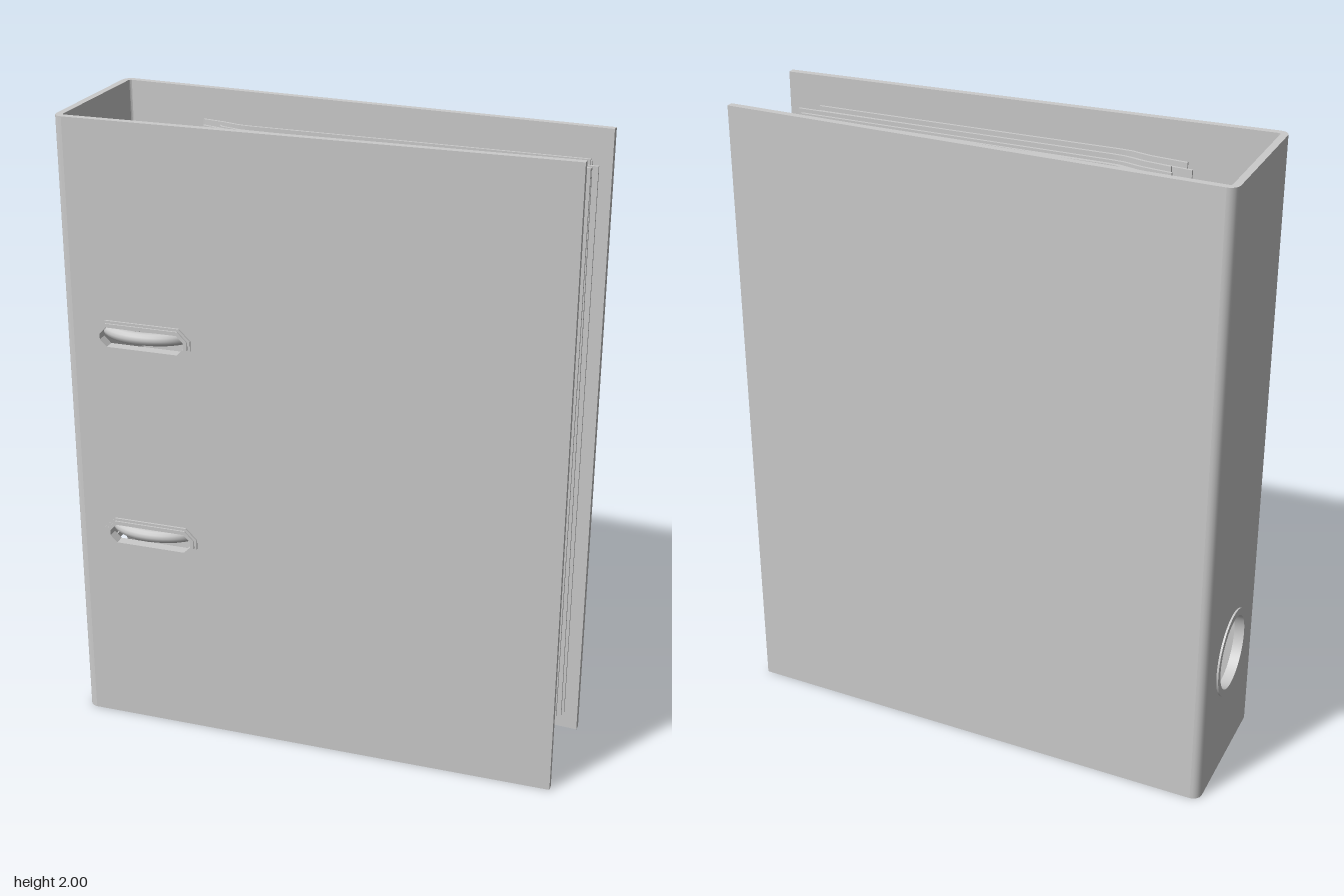
import * as THREE from 'three';
import { toCreasedNormals } from 'three/addons/utils/BufferGeometryUtils.js';

const T = 0.022; // board thickness
const H = 2; // binder height
const RING_Y = [0.67, 1.335];
const material = new THREE.MeshStandardMaterial({ color: 0xcccccc, side: THREE.DoubleSide });

function mesh(name, geometry, parent) {
  const m = new THREE.Mesh(geometry, material);
  m.name = name;
  parent.add(m);
  return m;
}

function extrude(shape, depth, curveSegments = 12) {
  return toCreasedNormals(
    new THREE.ExtrudeGeometry(shape, { depth, bevelEnabled: false, curveSegments }), 0.6);
}

// Outline drawn in x and z, raised along y
function prism(points, height) {
  const shape = new THREE.Shape(points.map(([x, z]) => new THREE.Vector2(x, -z)));
  return extrude(shape, height).rotateX(-Math.PI / 2);
}

function rectangle(x0, y0, x1, y1) {
  return new THREE.Shape([[x0, y0], [x1, y0], [x1, y1], [x0, y1]].map(p => new THREE.Vector2(...p)));
}

// Long slot with chamfered ends
function slot(cx, cy, a, b, Kind = THREE.Shape) {
  const pts = [[-a, -b * 0.3], [-a + b * 0.7, -b], [a - b * 0.7, -b], [a, -b * 0.3],
    [a, b * 0.3], [a - b * 0.7, b], [-a + b * 0.7, b], [-a, b * 0.3]];
  return new Kind(pts.map(([x, y]) => new THREE.Vector2(cx + x, cy + y)));
}

function circle(cx, cy, r, Kind = THREE.Path) {
  const c = new Kind();
  c.absarc(cx, cy, r, 0, Math.PI * 2);
  return c;
}

// Rounded fold between spine and cover
function fold(cz, side) {
  const points = [];
  for (const r of [0.03, 0.03 - T]) {
    for (let i = 0; i <= 6; i++) {
      const a = (r === 0.03 ? i : 6 - i) / 6 * Math.PI / 2;
      points.push([-0.75 - r * Math.cos(a), cz + side * r * Math.sin(a)]);
    }
  }
  return prism(points, H);
}

export function createModel() {
  const binder = new THREE.Group();
  binder.name = 'leverArchBinder';

  // Spine with finger hole and its metal rim
  const spineShape = rectangle(-0.22, 0, 0.21, H);
  spineShape.holes.push(circle(-0.005, 0.4, 0.13));
  mesh('spine', extrude(spineShape, T, 24).rotateY(-Math.PI / 2), binder).position.x = -0.78 + T;
  const rim = circle(-0.005, 0.4, 0.14, THREE.Shape);
  rim.holes.push(circle(-0.005, 0.4, 0.118));
  mesh('fingerHoleRim', extrude(rim, 0.032, 24).rotateY(-Math.PI / 2), binder).position.x = -0.754;
  mesh('backFold', fold(-0.22, -1), binder);
  mesh('frontFold', fold(0.21, 1), binder);

  // Back cover, leaning inward
  const back = mesh('backCover', extrude(rectangle(0, 0, 1.53, H), T), binder);
  back.position.set(-0.75, 0, -0.25);
  back.rotation.y = -0.034;

  // Front cover with two ring slots and their eyelets
  const front = new THREE.Group();
  front.name = 'frontCover';
  front.position.set(-0.75, 0, 0.24);
  front.rotation.y = 0.038;
  binder.add(front);
  const board = rectangle(0, 0, 1.53, H);
  for (const y of RING_Y) board.holes.push(slot(0.225, y, 0.145, 0.042, THREE.Path));
  mesh('frontBoard', extrude(board, T), front).position.z = -T;
  for (const y of RING_Y) {
    for (const [outer, inner, depth] of [[0, 0.014, 0.006], [0.008, 0.02, 0.011]]) {
      const eyelet = slot(0.225, y, 0.155 - outer, 0.051 - outer);
      eyelet.holes.push(slot(0.225, y, 0.155 - inner, 0.051 - inner, THREE.Path));
      mesh('ringEyelet', extrude(eyelet, T + depth), front).position.z = -T;
    }
  }

  // Ring mechanism: base plate and two arches
  const plate = mesh('mechanismPlate', new THREE.BoxGeometry(0.35, 1.0, 0.014), binder);
  plate.position.set(-0.545, 1, -0.22);
  plate.rotation.y = -0.034;
  for (const y of RING_Y) {
    const p = (x, z) => new THREE.Vector3(x, y, z);
    const path = new THREE.CurvePath();
    path.add(new THREE.LineCurve3(p(-0.678, -0.22), p(-0.678, 0.15)));
    path.add(new THREE.CubicBezierCurve3(p(-0.678, 0.15), p(-0.665, 0.19), p(-0.62, 0.222), p(-0.55, 0.222)));
    path.add(new THREE.CubicBezierCurve3(p(-0.55, 0.222), p(-0.46, 0.222), p(-0.41, 0.18), p(-0.392, 0.12)));
    path.add(new THREE.LineCurve3(p(-0.392, 0.12), p(-0.392, -0.22)));
    mesh('ring', new THREE.TubeGeometry(path, 64, 0.02, 12), binder);
  }

  // Sheets: flat, with the punched edge bent backward and uneven ends
  const rightEnds = [0.725, 0.725, 0.75, 0.74, 0.735, 0.69, 0.685, 0.705,
    0.69, 0.715, 0.705, 0.69, 0.705, 0.7, 0.66, 0.665];
  const paper = new THREE.Group();
  paper.name = 'paper';
  binder.add(paper);
  rightEnds.forEach((end, i) => {
    const z = -0.155 + i * 0.02;
    const left = end - 1.19 - 0.02 * Math.sin(i * 2.3);
    const t = 0.004;
    const line = [[left, z - 0.03], [-0.41, z - 0.018], [-0.35, z - 0.002], [-0.31, z], [end, z]];
    const outline = [...line.map(([x, w]) => [x, w - t]), ...line.reverse().map(([x, w]) => [x, w + t])];
    const sheet = mesh('sheet', prism(outline, 1.81).translate(0, -0.905, 0), paper);
    sheet.position.y = 1.005 + 0.008 * Math.sin(i * 1.7);
    sheet.rotation.z = 0.005 * Math.sin(i * 2.9);
  });
  return binder;
}
